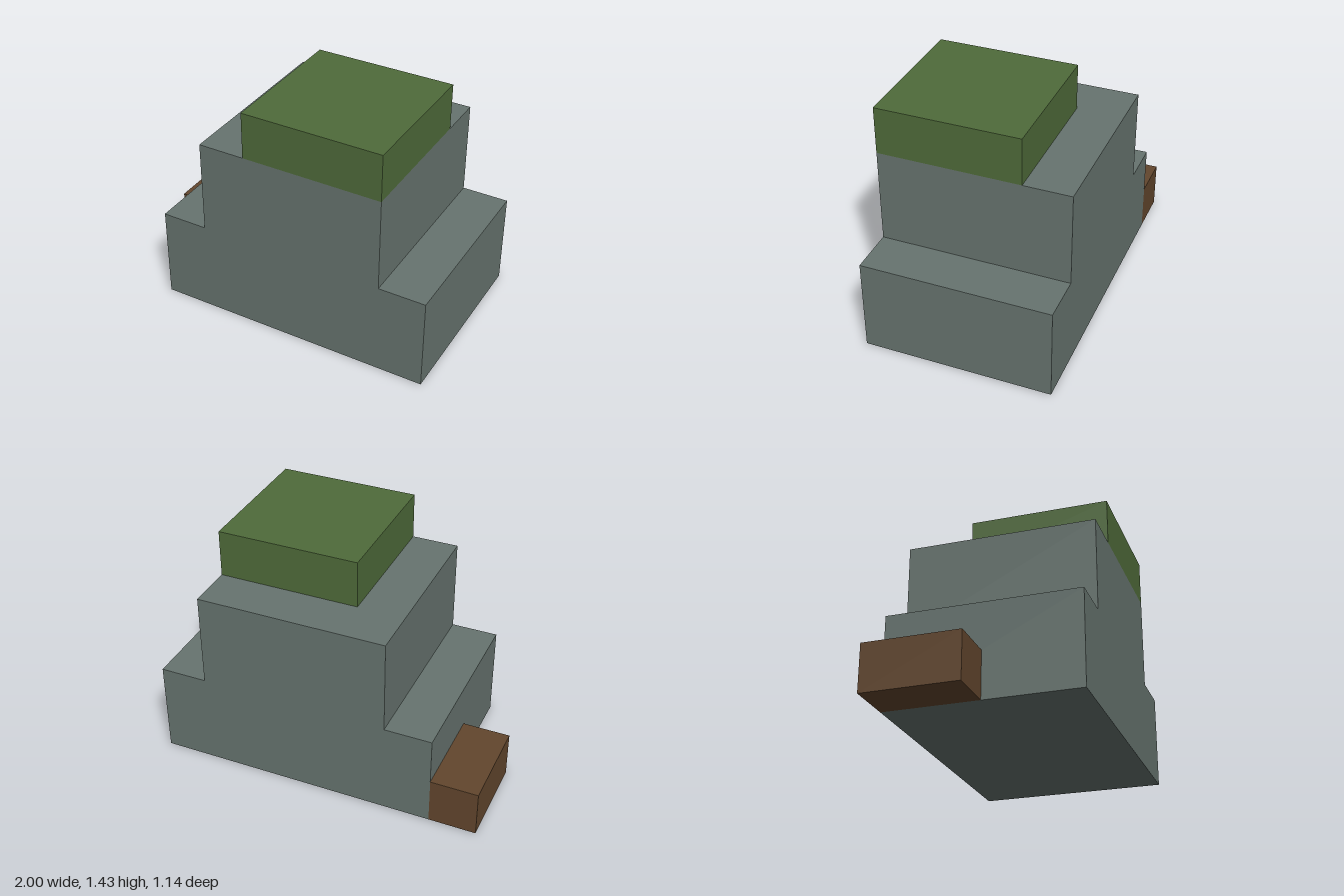
import * as THREE from 'three';

const U = 1 / 7; // grid unit shared by all blocks

function material(name, color) {
  const m = new THREE.MeshStandardMaterial({ color });
  m.name = name;
  return m;
}

// Box given by its min and max corners in grid units
function block(name, mat, [x0, y0, z0], [x1, y1, z1]) {
  const geometry = new THREE.BoxGeometry((x1 - x0) * U, (y1 - y0) * U, (z1 - z0) * U);
  const mesh = new THREE.Mesh(geometry, mat);
  mesh.name = name;
  mesh.position.set((x0 + x1) / 2, (y0 + y1) / 2, (z0 + z1) / 2).multiplyScalar(U);
  return mesh;
}

// Stepped body, one seamless profile extruded front to back
function steppedBody(mat) {
  const profile = [[-5, 0], [7, 0], [7, 4], [5, 4], [5, 8], [-3, 8], [-3, 4], [-5, 4]];
  const shape = new THREE.Shape(profile.map(([x, y]) => new THREE.Vector2(x * U, y * U)));
  const geometry = new THREE.ExtrudeGeometry(shape, { depth: 8 * U, bevelEnabled: false });
  geometry.translate(0, 0, -4 * U);
  const mesh = new THREE.Mesh(geometry, mat);
  mesh.name = 'steppedStone';
  return mesh;
}

export function createModel() {
  const stone = material('stone grey', 0x67746f);
  const moss = material('moss green', 0x4f6b3a);
  const earth = material('earth brown', 0x62462d);

  const group = new THREE.Group();
  group.name = 'mossyRock';
  group.add(
    steppedBody(stone),
    block('mossCap', moss, [-1, 8, -2], [5, 10, 4]),
    block('earthBlock', earth, [-7, 0, -4], [-5, 2, 0]),
  );
  return group;
}
